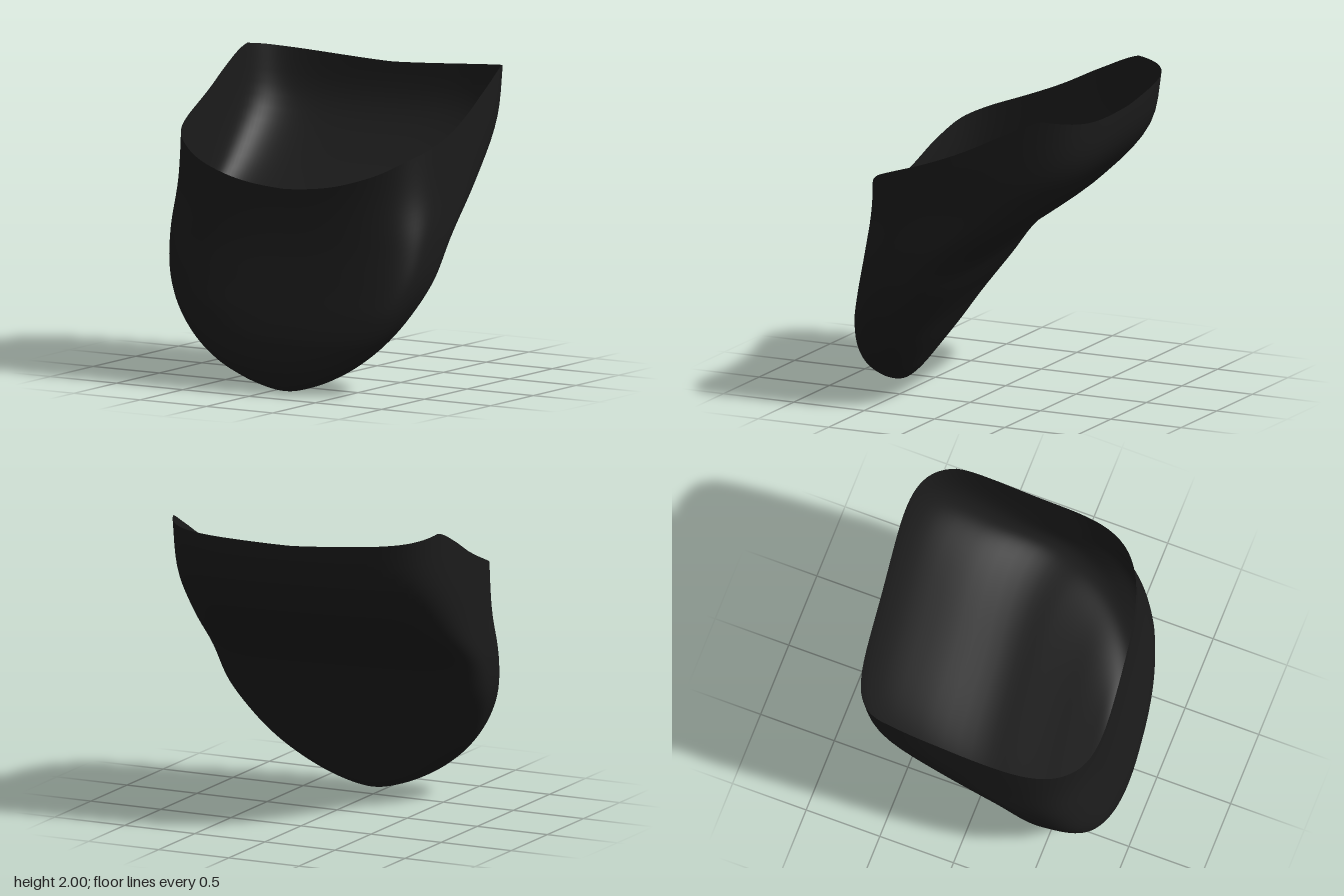
import * as THREE from 'three';

const COLS = 144, ROWS = 48, TOP = 2;
const PEAK = 8 / 3; // rim peak, measured round the section from the front

// Cross-sections evenly spaced in sqrt(height): half width, front z, back z
const sections = new THREE.CatmullRomCurve3([
  [0, 0.70, 0.70],
  [0.13, 0.755, 0.645],
  [0.30, 0.81, 0.585],
  [0.48, 0.858, 0.515],
  [0.645, 0.868, 0.42],
  [0.78, 0.842, 0.305],
  [0.878, 0.797, 0.145],
  [0.912, 0.752, -0.055],
  [0.91, 0.727, -0.455],
  [0.915, 0.735, -0.765],
  [0.915, 0.735, -0.84],
].map((p) => new THREE.Vector3(...p)), false, 'catmullrom', 0.5);

// Rim height at even steps from front centre to the peak near the back corner
const sideRim = new THREE.SplineCurve(
  [1.3, 1.332, 1.41, 1.5, 1.57, 1.648, 1.75, 1.878, 1.985]
    .map((y, i) => new THREE.Vector2(i, y)));

function rimHeight(u, side) {
  const tilt = -0.015 * side * Math.sin(u * Math.PI / 4);
  if (u <= PEAK) return sideRim.getPoint(u / PEAK).y + tilt;
  return 1.903 + 0.082 * ((4 - u) / (4 - PEAK)) ** 1.3 + tilt;
}

// Point on a rounded-rectangle section; u runs 0 (front) to 4 (back), side is +1 or -1
function shellPoint(u, side, y) {
  const s = sections.getPoint(Math.min(1, Math.sqrt(y / TOP)));
  const sx = Math.min(1, u, 4 - u);
  const sz = THREE.MathUtils.clamp(2 - u, -1, 1);
  // corners tighten steadily towards the upper back
  const n = sz > 0 ? Math.min(3.6, 2 + 3 * y) : 2 + 1.65 * y;
  const norm = (sx ** n + Math.abs(sz) ** n) ** (1 / n);
  const middle = (s.y + s.z) / 2, depth = (s.y - s.z) / 2;
  return [side * s.x * sx / norm, y, middle + depth * sz / norm];
}

function shellGeometry() {
  const positions = [0, 0, 0.7], index = [];
  const id = (row, col) => 1 + (row - 1) * COLS + (col % COLS);
  for (let r = 1; r <= ROWS; r++) {
    for (let c = 0; c < COLS; c++) {
      const u = Math.min(c, COLS - c) / (COLS / 8);
      const side = c <= COLS / 2 ? 1 : -1;
      positions.push(...shellPoint(u, side, rimHeight(u, side) * (r / ROWS) ** 2));
    }
  }
  for (let c = 0; c < COLS; c++) {
    index.push(0, id(1, c + 1), id(1, c));
    for (let r = 1; r < ROWS; r++) {
      const p = id(r, c), q = id(r, c + 1), s = id(r + 1, c), t = id(r + 1, c + 1);
      index.push(p, q, t, p, t, s);
    }
  }
  const g = new THREE.BufferGeometry();
  g.setAttribute('position', new THREE.Float32BufferAttribute(positions, 3));
  g.setIndex(index);
  g.computeVertexNormals();
  return g;
}

export function createModel() {
  const group = new THREE.Group();
  group.name = 'scoopCup';
  const black = new THREE.MeshStandardMaterial({ color: 0x1b1b1b, side: THREE.DoubleSide });
  black.name = 'matte black';

  // Open cup with a sloping rim, turned slightly to its left
  const shell = new THREE.Mesh(shellGeometry(), black);
  shell.name = 'cupShell';
  shell.rotation.y = 0.12;
  group.add(shell);

  // Centre the footprint
  const box = new THREE.Box3().setFromObject(group, true);
  const centre = box.getCenter(new THREE.Vector3());
  shell.position.set(-centre.x, -box.min.y, -centre.z);
  return group;
}
